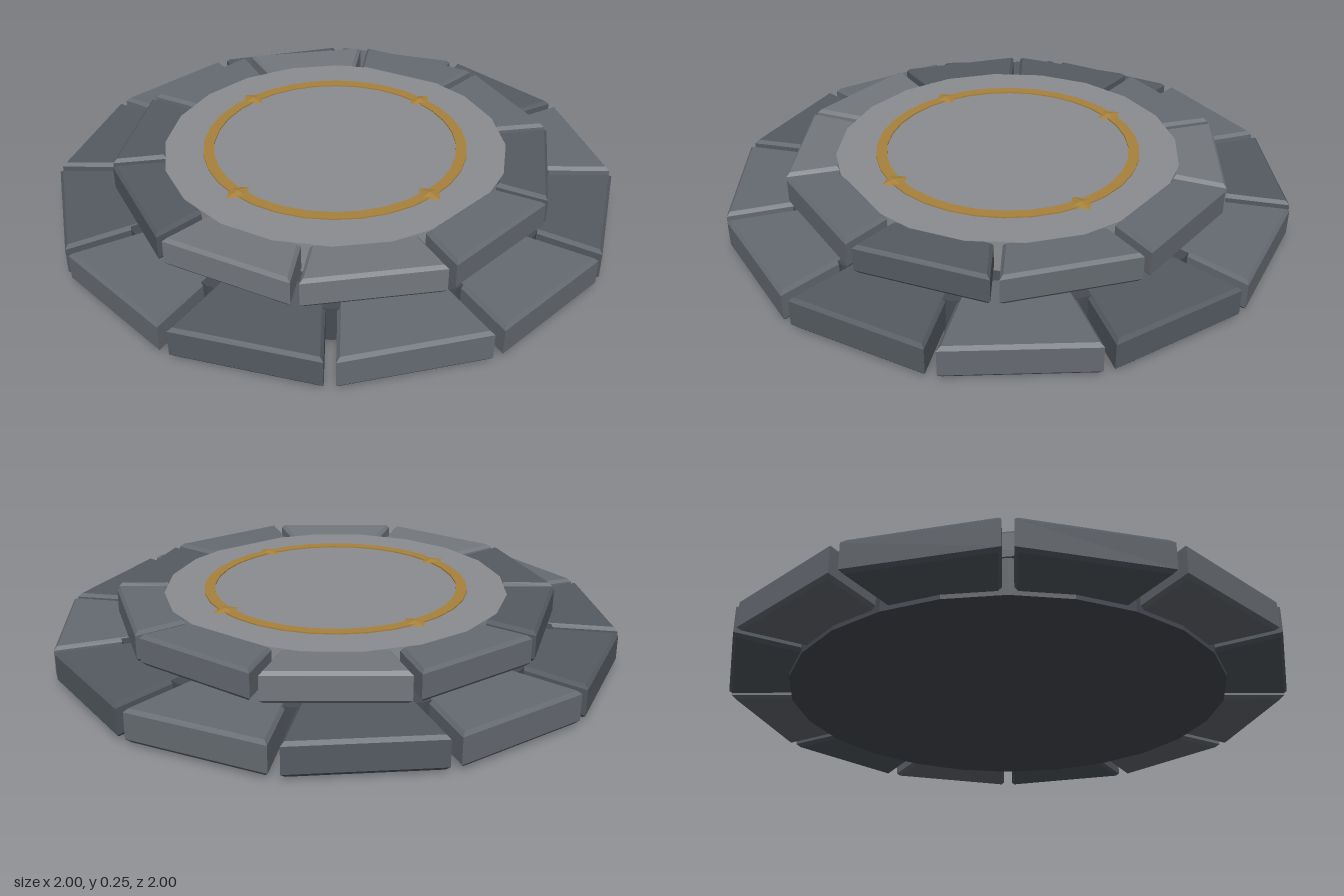
import * as THREE from 'three';

const mat = (color) => new THREE.MeshStandardMaterial({ color, flatShading: true });
const SLATE = { d: mat(0x555b62), m: mat(0x666b72), l: mat(0x74787e) };
const CORE = mat(0x474b52), PAVING = mat(0x8a8d91), GOLD = mat(0xa8823c);

// Bevelled wedge block, centred on +x, with parallel gaps to its neighbours
function blockGeometry(count, inner, outer, height, gap, bevel) {
  const a = Math.PI / count;
  const corner = (r, s) => new THREE.Vector2(
    r * Math.cos(a) + gap * Math.sin(a),
    s * (r * Math.sin(a) - gap * Math.cos(a)));
  const shape = new THREE.Shape([corner(inner, -1), corner(outer, -1), corner(outer, 1), corner(inner, 1)]);
  const geo = new THREE.ExtrudeGeometry(shape, {
    depth: height - 2 * bevel, bevelEnabled: true, bevelThickness: bevel,
    bevelSize: bevel, bevelOffset: -bevel, bevelSegments: 1,
  });
  return geo.translate(0, 0, bevel).rotateX(-Math.PI / 2);
}

// Ring of blocks; each letter of shades picks one block's stone colour
function blockRing(name, geo, shades, startDeg, y, raised = []) {
  const ring = new THREE.Group();
  ring.name = name;
  [...shades].forEach((shade, i) => {
    const block = new THREE.Mesh(geo, SLATE[shade]);
    block.name = name + 'Block';
    block.rotation.y = THREE.MathUtils.degToRad(startDeg) + (i * 2 * Math.PI) / shades.length;
    block.position.y = y + (raised.includes(i) ? 0.003 : 0);
    ring.add(block);
  });
  return ring;
}

function disc(name, radius, y0, y1, sides, material) {
  const mesh = new THREE.Mesh(new THREE.CylinderGeometry(radius, radius, y1 - y0, sides), material);
  mesh.name = name;
  mesh.position.y = (y0 + y1) / 2;
  return mesh;
}

export function createModel() {
  const model = new THREE.Group();
  model.name = 'steppedStoneDais';

  // Solid core and top paving
  model.add(disc('baseCore', 0.775, 0, 0.125, 24, CORE));
  model.add(disc('topPaving', 0.61, 0.12, 0.2355, 20, PAVING));

  // Two tiers of stone blocks
  model.add(blockRing('lowerTier', blockGeometry(12, 0.66, 1.0, 0.113, 0.018, 0.012),
    'mdmdmddmdmmd', 15, 0.015));
  model.add(blockRing('upperTier', blockGeometry(10, 0.6, 0.785, 0.106, 0.014, 0.012),
    'mmlmddllmd', 28, 0.128, [1, 8]));

  // Flat inlaid ring
  const section = [[0.432, 0.23], [0.47, 0.23], [0.47, 0.24], [0.432, 0.24], [0.432, 0.23]]
    .map(([r, y]) => new THREE.Vector2(r, y));
  const inlay = new THREE.Mesh(new THREE.LatheGeometry(section, 32), GOLD);
  inlay.name = 'inlayRing';
  model.add(inlay);

  // Four flattened studs on the ring's diagonals
  const studGeo = new THREE.OctahedronGeometry(0.047).scale(1, 0.2, 1);
  for (let i = 0; i < 4; i++) {
    const angle = Math.PI / 4 + (i * Math.PI) / 2;
    const stud = new THREE.Mesh(studGeo, GOLD);
    stud.name = 'inlayStud';
    stud.position.set(0.451 * Math.cos(angle), 0.237, 0.451 * Math.sin(angle));
    stud.rotation.y = -angle;
    model.add(stud);
  }
  return model;
}
